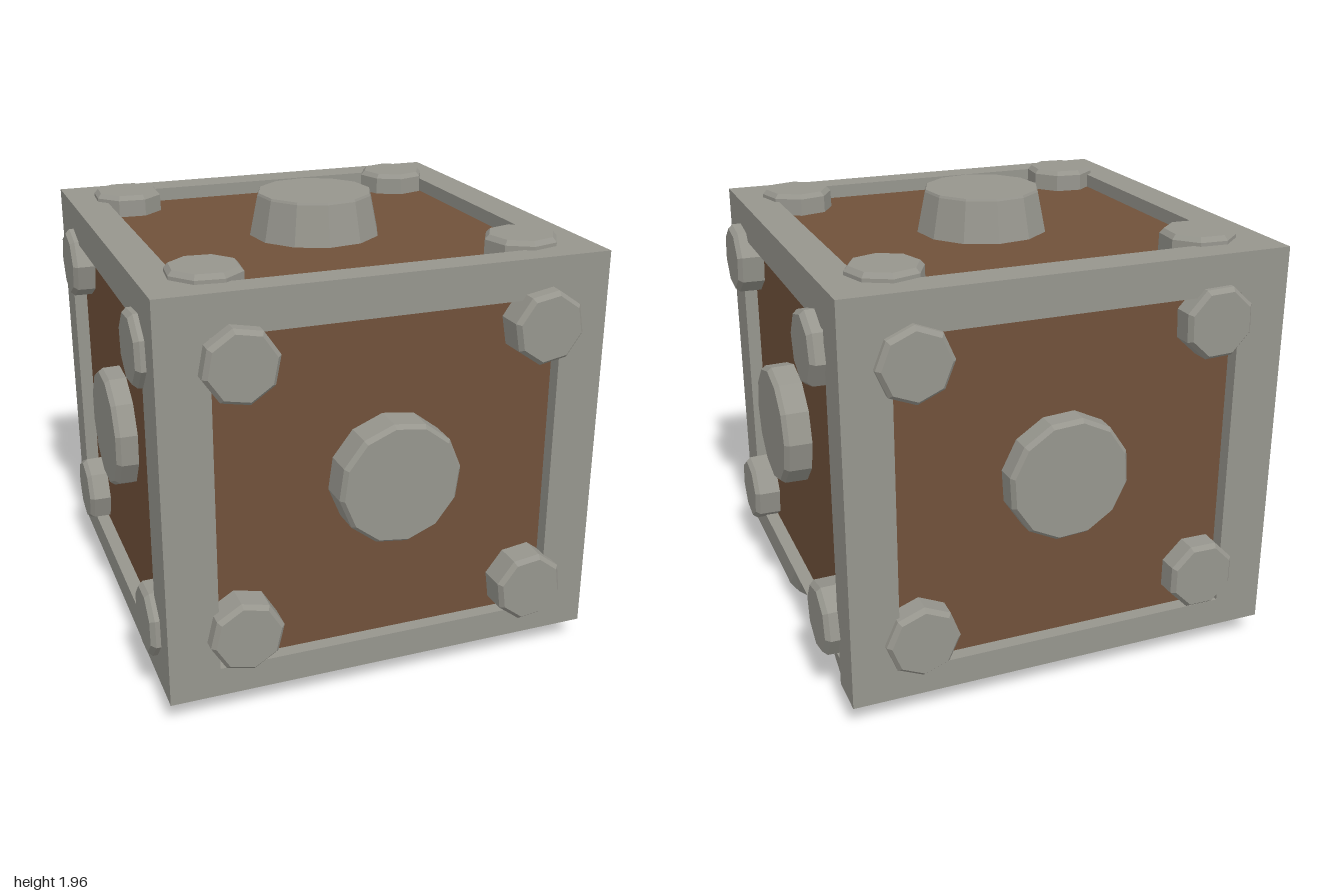
import * as THREE from 'three';

const stone = new THREE.MeshStandardMaterial({ color: 0x96958d });
stone.name = 'grey stone';
const wood = new THREE.MeshStandardMaterial({ color: 0x70513a });
wood.name = 'brown wood';

// Outer limits of the frame
const X0 = -0.96, X1 = 0.94, Y0 = 0.1, Y1 = 1.83, Z0 = -0.96, Z1 = 0.92;
const RECESS = 0.06;

function flat(geometry) {
  const g = geometry.toNonIndexed();
  g.computeVertexNormals();
  return g;
}

function add(parent, name, geometry, material) {
  const mesh = new THREE.Mesh(geometry, material);
  mesh.name = name;
  parent.add(mesh);
  return mesh;
}

// Box given by its limits
function box(x0, x1, y0, y1, z0, z1, segZ = 1) {
  const g = new THREE.BoxGeometry(x1 - x0, y1 - y0, z1 - z0, 1, 1, segZ);
  return g.translate((x0 + x1) / 2, (y0 + y1) / 2, (z0 + z1) / 2);
}

// Faceted knob with a chamfered outer rim, growing along +y from 0 to h
function knobGeometry(rBase, rRim, rTop, h, sides, chamfer) {
  const g = new THREE.CylinderGeometry(rTop, rBase, h, sides, 2);
  const p = g.attributes.position;
  const mid = (rBase + rTop) / 2;
  for (let i = 0; i < p.count; i++) {
    if (Math.abs(p.getY(i)) < 1e-5) {
      p.setXYZ(i, p.getX(i) * rRim / mid, h / 2 - chamfer, p.getZ(i) * rRim / mid);
    }
  }
  return g.translate(0, h / 2, 0);
}

export function createModel() {
  const model = new THREE.Group();
  model.name = 'studdedCrate';

  // Wooden core whose sides show as recessed panels
  add(model, 'woodenPanels', box(X0 + RECESS, X1 - RECESS, Y0 + RECESS, Y1 - RECESS,
    Z0 + RECESS, Z1 - RECESS), wood);

  // Frame: four posts and two rings of beams
  const frame = new THREE.Group();
  frame.name = 'frame';
  model.add(frame);
  for (const [xa, xb] of [[X0, -0.745], [0.735, X1]]) {
    for (const [za, zb] of [[Z0, -0.775], [0.71, Z1]]) {
      add(frame, 'post', box(xa, xb, Y0, Y1, za, zb), stone);
    }
  }
  for (const [ya, yb] of [[Y0, 0.228], [1.66, Y1]]) {
    for (const [za, zb] of [[Z0, -0.81], [0.795, Z1]]) {
      add(frame, 'crossBeam', box(X0, X1, ya, yb, za, zb), stone);
    }
    for (const [xa, xb] of [[X0, -0.8], [0.78, X1]]) {
      const g = box(xa, xb, ya, yb, Z0, Z1, 16);
      // Worn lower edge on one side beam
      if (xa > 0 && ya === Y0) {
        const p = g.attributes.position;
        for (let i = 0; i < p.count; i++) {
          const z = p.getZ(i);
          if (p.getX(i) > 0.9 && p.getY(i) < 0.15 && z < 0.05 && z > -0.9) {
            const wear = z > -0.22 ? (0.05 - z) / 0.27 : (z + 0.9) / 0.68;
            p.setX(i, X1 - 0.05 * wear);
            p.setY(i, Y0 + 0.075 * wear);
          }
        }
      }
      add(frame, 'sideBeam', flat(g), stone);
    }
  }

  // Studs and bosses: each face has an outward axis, a base level and a tip level.
  // Positions are the two remaining coordinates in x, y, z order.
  const sideStuds = [[1.55, -0.64], [1.56, 0.65], [0.36, -0.65], [0.36, 0.65]];
  const endStuds = [[-0.64, 1.55], [0.65, 1.55], [-0.64, 0.39], [0.64, 0.36]];
  const flatStuds = [[-0.69, -0.69], [0.67, -0.69], [-0.69, 0.66], [0.67, 0.66]];
  const faces = [
    { name: 'front', axis: 2, dir: 1, base: Z1, tip: 0.99, boss: 1, studs: endStuds, mid: [0.01, 0.97] },
    { name: 'back', axis: 2, dir: -1, base: Z0, tip: -1, boss: -1, studs: endStuds, mid: [0.01, 0.97] },
    { name: 'left', axis: 0, dir: 1, base: X1, tip: 1, boss: 1, studs: sideStuds, mid: [0.97, 0.01] },
    { name: 'right', axis: 0, dir: -1, base: X0, tip: -1, boss: -0.995, studs: sideStuds, mid: [0.97, 0.01] },
    { name: 'top', axis: 1, dir: 1, base: Y1, tip: 1.865, boss: 1.955, studs: flatStuds, mid: [0, 0] },
    { name: 'bottom', axis: 1, dir: -1, base: Y0, tip: 0.06, boss: 0, studs: flatStuds, mid: [0.01, 0] },
  ];
  const up = new THREE.Vector3(0, 1, 0);
  faces.forEach((face, f) => {
    const normal = new THREE.Vector3().setComponent(face.axis, face.dir);
    const root = face.base - face.dir * (RECESS + 0.02);
    const place = (name, geometry, [a, b], turn) => {
      const mesh = add(model, name, flat(geometry.rotateY(turn)), stone);
      const c = [a, b];
      c.splice(face.axis, 0, root);
      mesh.position.fromArray(c);
      mesh.quaternion.setFromUnitVectors(up, normal);
    };
    face.studs.forEach((at, i) => {
      const h = Math.abs(face.tip - root);
      place(face.name + 'CornerStud', knobGeometry(0.16, 0.158, 0.14, h, 8, 0.02), at, 0.2 + i * 0.37 + f * 0.23);
    });
    const h = Math.abs(face.boss - root);
    const g = face.name === 'top'
      ? knobGeometry(0.295, 0.255, 0.25, h, 12, 0.01)
      : knobGeometry(0.268, 0.266, 0.25, h, 12, 0.02);
    place(face.name + 'Boss', g, face.mid, 0.13 + f * 0.2);
  });

  return model;
}
